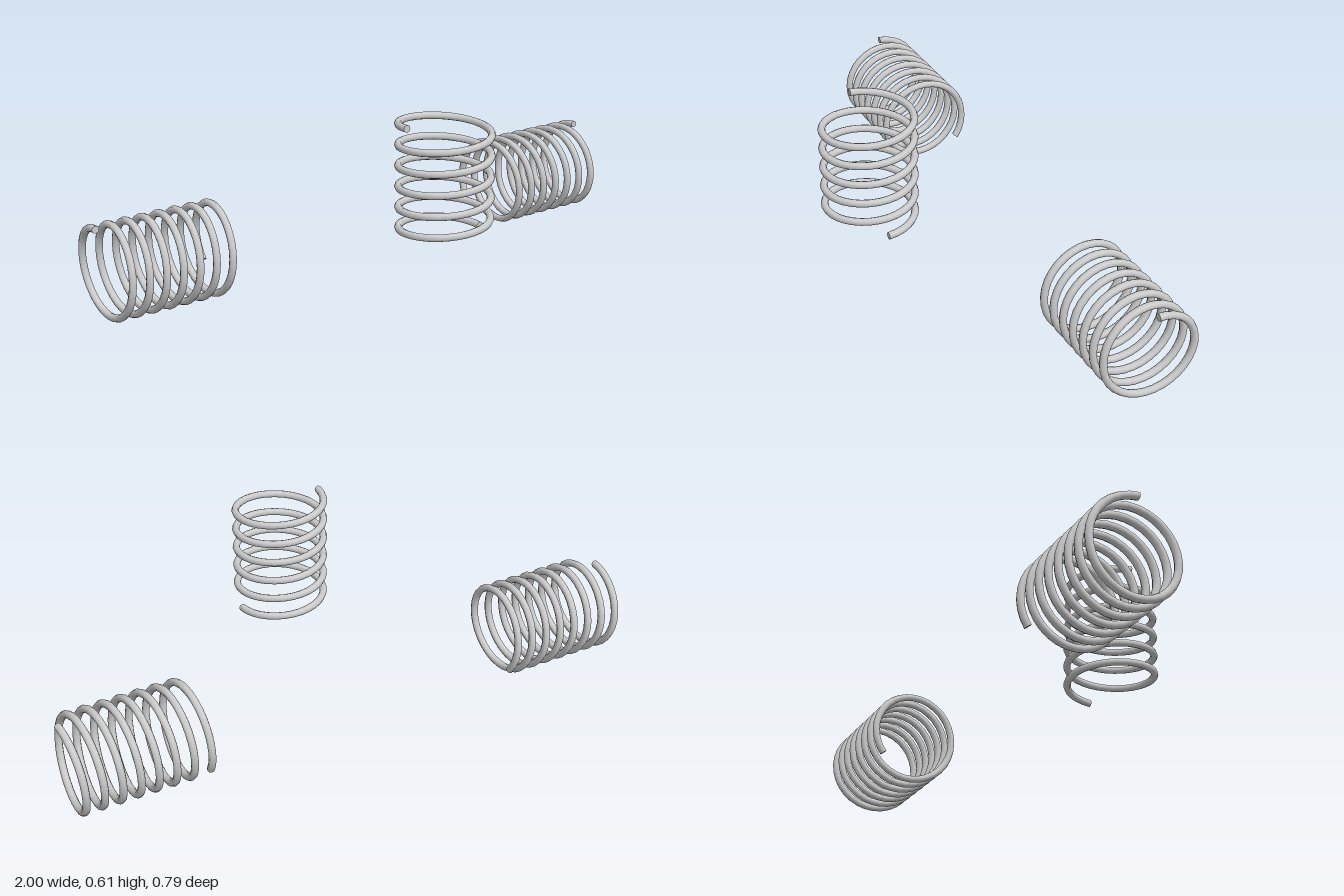
import * as THREE from 'three';

const COIL_RADIUS = 0.148;
const WIRE_RADIUS = 0.0125;
const SIDES = 8;

// One coil of wire around the z axis, with a flat disc at each end.
// The sign of the pitch sets which way it winds.
function makeSpring(name, turns, pitch, material) {
  const spring = new THREE.Group();
  spring.name = name;
  const sweep = turns * Math.PI * 2;

  // A ring running round several times, drawn out along its axis
  const coil = new THREE.TorusGeometry(
    COIL_RADIUS, WIRE_RADIUS, SIDES, Math.round(turns * 32), sweep);
  const { position, uv } = coil.attributes;
  for (let i = 0; i < position.count; i++) {
    position.setZ(i, position.getZ(i) + pitch * turns * uv.getX(i));
  }
  const wire = new THREE.Mesh(coil, material);
  wire.name = 'wire';
  spring.add(wire);

  // Wire ends
  for (const t of [0, 1]) {
    const disc = new THREE.CircleGeometry(WIRE_RADIUS, SIDES)
      .rotateX(t ? -Math.PI / 2 : Math.PI / 2)
      .translate(COIL_RADIUS, 0, 0)
      .rotateZ(t * sweep)
      .translate(0, 0, t * turns * pitch);
    const cap = new THREE.Mesh(disc, material);
    cap.name = 'wireEnd';
    spring.add(cap);
  }
  return spring;
}

// Turn a spring so that its own x, y and z axes point along the given directions
function orient(spring, x, y, z) {
  const basis = [x, y, z].map((v) => new THREE.Vector3(...v));
  spring.quaternion.setFromRotationMatrix(new THREE.Matrix4().makeBasis(...basis));
}

export function createModel() {
  const model = new THREE.Group();
  model.name = 'springs';
  const steel = new THREE.MeshStandardMaterial({ color: 0xcccccc });
  steel.name = 'steelGrey';

  // Upright spring, wound down from its top end on the right
  const upright = makeSpring('uprightSpring', 5.5, 0.0691, steel);
  orient(upright, [-1, 0, 0], [0, 0, -1], [0, -1, 0]);
  upright.position.set(0, 0.5985, 0.2355);
  model.add(upright);

  // Mirrored pair lying along x, wound inwards from the outer ends
  for (const side of [1, -1]) {
    const lying = makeSpring(side > 0 ? 'leftSpring' : 'rightSpring', 7.35, side * 0.0582, steel);
    orient(lying, [0, 1, 0], [0, 0, -1], [-1, 0, 0]);
    lying.position.set(side * 0.9875, 0.1615, -0.2355);
    model.add(lying);
  }
  return model;
}
